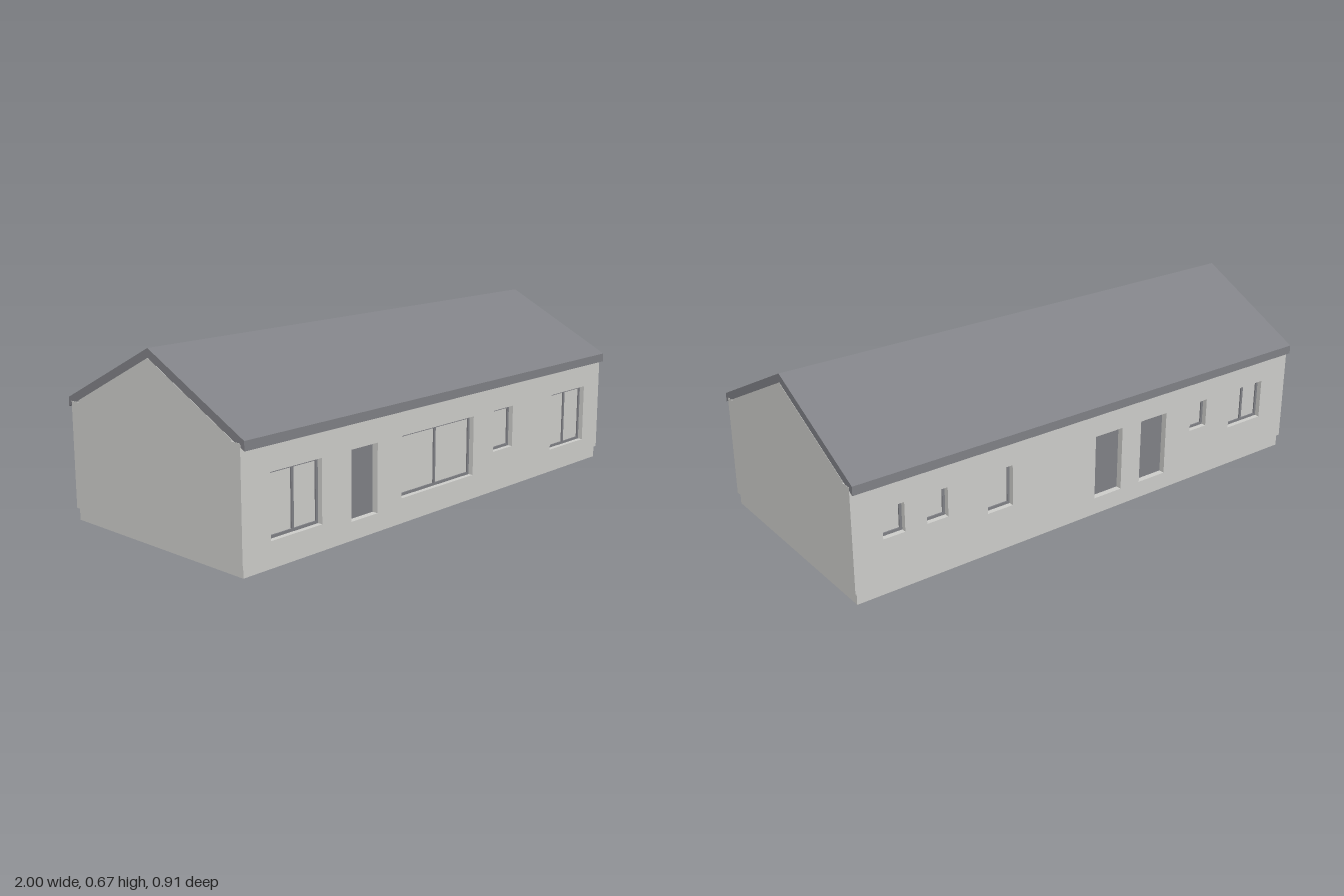
import * as THREE from 'three';

const wallMat = new THREE.MeshStandardMaterial({ color: 0xcdcdca });
wallMat.name = 'light render';
const darkMat = new THREE.MeshStandardMaterial({ color: 0x808186 });
darkMat.name = 'slate grey';

const WALL_Z = 0.438, EAVE = 0.434, BASE = 0.045, THICK = 0.04, RECESS = 0.028;

// openings: [x0, x1, y0, y1, panes]; 0 panes means a door
const frontOpenings = [
  [-0.88, -0.65, 0.095, 0.32, 2],
  [-0.51, -0.38, 0.07, 0.32, 0],
  [-0.255, 0.15, 0.095, 0.32, 2],
  [0.275, 0.395, 0.16, 0.32, 1],
  [0.655, 0.89, 0.095, 0.32, 2],
];
// listed as seen facing the back wall
const backOpenings = [
  [-0.887, -0.803, 0.21, 0.32, 1],
  [-0.718, -0.634, 0.21, 0.32, 1],
  [-0.472, -0.366, 0.165, 0.32, 1],
  [0.007, 0.134, 0.07, 0.32, 0],
  [0.225, 0.352, 0.07, 0.32, 0],
  [0.479, 0.563, 0.21, 0.32, 1],
  [0.69, 0.866, 0.165, 0.32, 2],
];

function polygon(points, Type = THREE.Shape) {
  return new Type(points.map(([x, y]) => new THREE.Vector2(x, y)));
}

function rect(x0, x1, y0, y1, Type) {
  return polygon([[x0, y0], [x1, y0], [x1, y1], [x0, y1]], Type);
}

function extrude(name, shape, depth, material) {
  const geometry = new THREE.ExtrudeGeometry(shape, { depth, bevelEnabled: false });
  const mesh = new THREE.Mesh(geometry, material);
  mesh.name = name;
  return mesh;
}

function box(name, w, h, d, material, x, y, z) {
  const mesh = new THREE.Mesh(new THREE.BoxGeometry(w, h, d), material);
  mesh.name = name;
  mesh.position.set(x, y, z);
  return mesh;
}

// recessed window: pale panes in a slim dark frame
function makeWindow([x0, x1, y0, y1, panes]) {
  const group = new THREE.Group();
  group.name = 'window';
  const bar = 0.01, step = (x1 - x0 - bar) / panes;
  const frame = rect(x0, x1, y0, y1);
  for (let i = 0; i < panes; i++) {
    const left = x0 + bar + i * step;
    frame.holes.push(rect(left, left + step - bar, y0 + bar, y1 - bar, THREE.Path));
  }
  const frameMesh = extrude('windowFrame', frame, 0.009, darkMat);
  frameMesh.position.z = WALL_Z - RECESS;
  const pane = box('windowPane', x1 - x0, y1 - y0, 0.008, wallMat,
    (x0 + x1) / 2, (y0 + y1) / 2, WALL_Z - RECESS);
  group.add(frameMesh, pane);
  return group;
}

// long wall with its windows and doors, facing +z
function makeLongWall(name, openings) {
  const group = new THREE.Group();
  group.name = name;
  const shape = rect(-1, 1, BASE, EAVE);
  for (const opening of openings) {
    const [x0, x1, y0, y1, panes] = opening;
    shape.holes.push(rect(x0, x1, y0, y1, THREE.Path));
    group.add(panes ? makeWindow(opening)
      : box('door', x1 - x0, y1 - y0, 0.01, darkMat, (x0 + x1) / 2, (y0 + y1) / 2, WALL_Z - RECESS));
  }
  const wall = extrude('wall', shape, THICK, wallMat);
  wall.position.z = WALL_Z - THICK;
  group.add(wall);
  return group;
}

export function createModel() {
  const house = new THREE.Group();
  house.name = 'house';

  // slightly inset foundation
  house.add(box('plinth', 1.985, BASE + 0.002, 0.864, wallMat, 0, (BASE + 0.002) / 2, 0));
  // floor slab closing the underside of the walls
  house.add(box('floorSlab', 1.998, 0.01, 0.874, wallMat, 0, BASE + 0.006, 0));

  const back = makeLongWall('backWall', backOpenings);
  back.rotation.y = Math.PI;
  house.add(makeLongWall('frontWall', frontOpenings), back);

  // gable ends between the long walls
  const inner = WALL_Z - THICK;
  const gable = polygon([[-inner, BASE], [inner, BASE], [inner, 0.441], [0, 0.641], [-inner, 0.441]]);
  for (const side of [-1, 1]) {
    const end = extrude(side > 0 ? 'leftGable' : 'rightGable', gable, THICK, wallMat);
    end.rotation.y = side * Math.PI / 2;
    end.position.x = side * (1 - THICK);
    house.add(end);
  }

  // pitched roof with vertical eave edges
  const profile = polygon([[-0.456, 0.412], [0, 0.64], [0.456, 0.412],
    [0.456, 0.445], [0, 0.673], [-0.456, 0.445]]);
  const roof = extrude('roof', profile, 1.998, darkMat);
  roof.rotation.y = Math.PI / 2;
  roof.position.x = -0.999;
  house.add(roof);

  return house;
}
